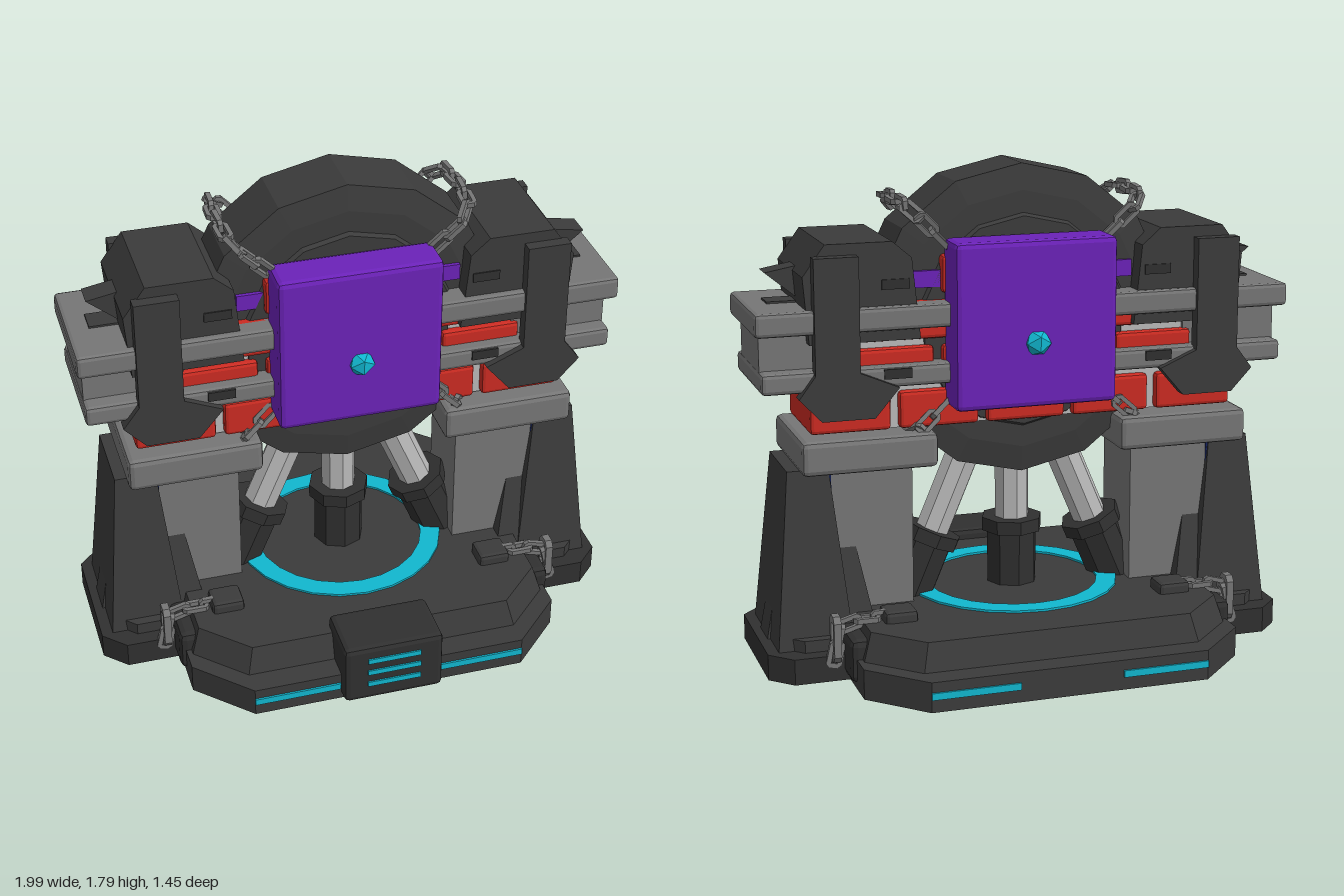
import * as THREE from 'three';
import { RoundedBoxGeometry } from 'three/addons/geometries/RoundedBoxGeometry.js';

const mat = (name, color) => {
  const m = new THREE.MeshStandardMaterial({ color });
  m.name = name;
  return m;
};

// faceted copy of a geometry
function facet(geo) {
  const g = geo.index ? geo.toNonIndexed() : geo;
  g.computeVertexNormals();
  return g;
}

function add(parent, name, geo, material, x = 0, y = 0, z = 0) {
  const mesh = new THREE.Mesh(facet(geo), material);
  mesh.name = name;
  mesh.position.set(x, y, z);
  parent.add(mesh);
  return mesh;
}

// chamfered box given by its limits
function block(parent, name, m, [x0, x1], [y0, y1], [z0, z1], bevel = 0.015) {
  const geo = new RoundedBoxGeometry(x1 - x0, y1 - y0, z1 - z0, 1, bevel);
  return add(parent, name, geo, m, (x0 + x1) / 2, (y0 + y1) / 2, (z0 + z1) / 2);
}

// box whose top has another size and is shifted sideways
function taper(w, h, d, topW, topD, shiftX = 0, shiftZ = 0) {
  const g = new THREE.BoxGeometry(w, h, d);
  const p = g.attributes.position;
  for (let i = 0; i < p.count; i++) {
    if (p.getY(i) > 0) {
      p.setX(i, p.getX(i) * topW / w + shiftX);
      p.setZ(i, p.getZ(i) * topD / d + shiftZ);
    }
  }
  return g;
}

const shapeOf = (pts) => new THREE.Shape(pts.map(([x, y]) => new THREE.Vector2(x, y)));
const extrude = (pts, depth) =>
  new THREE.ExtrudeGeometry(shapeOf(pts), { depth, bevelEnabled: false });

// chamfered slab lying flat, its sides narrowing by inset towards the top
function octSlab(hx, hz, c, h, inset = 0) {
  const g = extrude([[-hx, -hz + c], [-hx + c, -hz], [hx - c, -hz], [hx, -hz + c],
    [hx, hz - c], [hx - c, hz], [-hx + c, hz], [-hx, hz - c]], h);
  g.rotateX(-Math.PI / 2);
  const p = g.attributes.position;
  for (let i = 0; i < p.count; i++) {
    if (p.getY(i) > h / 2) {
      p.setX(i, p.getX(i) * (1 - inset / hx));
      p.setZ(i, p.getZ(i) * (1 - inset / hz));
    }
  }
  return g;
}

// one angular chain link
function linkGeometry() {
  const s = shapeOf([[-0.05, -0.015], [-0.037, -0.028], [0.037, -0.028], [0.05, -0.015],
    [0.05, 0.015], [0.037, 0.028], [-0.037, 0.028], [-0.05, 0.015]]);
  s.holes.push(new THREE.Path([[-0.034, -0.012], [-0.034, 0.012], [0.034, 0.012], [0.034, -0.012]]
    .map(([x, y]) => new THREE.Vector2(x, y))));
  return new THREE.ExtrudeGeometry(s, { depth: 0.018, bevelEnabled: false }).translate(0, 0, -0.009);
}

function chain(parent, name, pts, count, m) {
  const path = new THREE.CurvePath();
  const v = pts.map((p) => new THREE.Vector3(...p));
  for (let i = 1; i < v.length; i++) path.add(new THREE.LineCurve3(v[i - 1], v[i]));
  const group = new THREE.Group();
  group.name = name;
  for (let i = 0; i < count; i++) {
    const t = (i + 0.5) / count;
    const link = add(group, 'chainLink', linkGeometry(), m, ...path.getPointAt(t).toArray());
    link.quaternion.setFromUnitVectors(new THREE.Vector3(1, 0, 0), path.getTangentAt(t).normalize());
    link.rotateX(i % 2 ? Math.PI / 2 : 0);
  }
  parent.add(group);
}

export function createModel() {
  const dark = mat('charcoal', 0x3b3b3b), black = mat('blackMetal', 0x303030);
  const grey = mat('steel', 0x767676), silver = mat('silver', 0xb9b9b9);
  const red = mat('redBrick', 0xcb2b22), purple = mat('purple', 0x6b22b8);
  const cyan = mat('cyanGlow', 0x11b7cf), navy = mat('navy', 0x20307a);

  const model = new THREE.Group();
  model.name = 'portalMachine';
  const root = new THREE.Group();
  root.name = 'machine';
  root.position.z = -0.025;
  model.add(root);

  // stepped platform with its glowing ring and edge strips
  add(root, 'platformBase', octSlab(0.7, 0.695, 0.19, 0.11), dark);
  add(root, 'platformTop', octSlab(0.68, 0.605, 0.17, 0.1, 0.03), dark, 0, 0.11);
  const ring = new THREE.Shape().absarc(0, 0, 0.395, 0, Math.PI * 2);
  ring.holes.push(new THREE.Path().absarc(0, 0, 0.32, 0, Math.PI * 2, true));
  add(root, 'floorRing', new THREE.ExtrudeGeometry(ring, { depth: 0.008, bevelEnabled: false, curveSegments: 12 })
    .rotateX(-Math.PI / 2), cyan, 0, 0.21);
  for (const x of [-0.35, 0.35]) for (const z of [-0.698, 0.698]) {
    add(root, 'edgeStrip', new THREE.BoxGeometry(0.32, 0.025, 0.009), cyan, x, 0.06, z);
  }

  // control console
  block(root, 'console', black, [-0.187, 0.187], [0.01, 0.25], [0.515, 0.742], 0.02);
  for (const y of [0.085, 0.138, 0.19]) {
    add(root, 'consoleStrip', new THREE.BoxGeometry(0.2, 0.02, 0.008), cyan, 0, y, 0.744);
  }

  // three pistons holding the wheel
  for (const [x, lean] of [[-0.42, -0.4], [0, 0], [0.42, 0.4]]) {
    const piston = new THREE.Group();
    piston.name = 'piston';
    piston.position.set(x, 0.17, 0);
    piston.rotation.z = lean;
    root.add(piston);
    add(piston, 'pistonSleeve', new THREE.CylinderGeometry(0.095, 0.095, 0.28, 8), black, 0, 0.12);
    add(piston, 'pistonCollar', new THREE.CylinderGeometry(0.115, 0.115, 0.05, 8), black, 0, 0.265);
    add(piston, 'pistonRod', new THREE.CylinderGeometry(0.065, 0.065, 0.5, 8), silver, 0, 0.45);
  }

  // big faceted wheel with raised hub
  const wheel = new THREE.LatheGeometry([[0, -0.15], [0.38, -0.15], [0.39, -0.135], [0.47, -0.135], [0.565, -0.12],
    [0.565, 0.12], [0.47, 0.135], [0.39, 0.135], [0.38, 0.15], [0, 0.15]]
    .map(([x, y]) => new THREE.Vector2(x, y)), 14).rotateX(Math.PI / 2);
  add(root, 'wheel', wheel, dark, 0, 1.228);

  // brick wall
  add(root, 'mortar', new THREE.BoxGeometry(1.22, 0.44, 0.29), silver, 0, 1.09);
  const rows = [[-0.65, -0.325, 0, 0.325, 0.65], [-0.49, -0.165, 0.165, 0.49],
    [-0.56, -0.325, 0, 0.325, 0.56], [-0.165, 0.165]];
  rows.forEach((row, r) => row.forEach((x) => {
    const half = Math.abs(x) === 0.56 ? 0.055 : 0.147;
    block(root, 'brick', red, [x - half, x + half], [0.87 + r * 0.16, 1.005 + r * 0.16], [-0.175, 0.175], 0.014);
  }));
  add(root, 'crossBar', new THREE.BoxGeometry(0.82, 0.06, 0.3), purple, 0, 1.4);

  // purple panels and their gems
  for (const s of [-1, 1]) {
    const z = [0.145 * s, 0.305 * s].sort((a, b) => a - b);
    block(root, 'panel', purple, [-0.3, 0.3], [0.945, 1.545], z, 0.02);
    add(root, 'gem', new THREE.IcosahedronGeometry(0.052, 0), cyan, 0, 1.178, 0.295 * s);
  }

  // chains wrapped around the wheel rim
  for (let k = 0; k < 4; k++) {
    const a = Math.PI / 4 + k * Math.PI / 2;
    const pts = [[0.42, 0.175], [0.56, 0.19], [0.62, 0.13], [0.63, 0], [0.62, -0.13], [0.56, -0.19], [0.42, -0.175]]
      .map(([r, z]) => [r * Math.cos(a), 1.228 + (k > 1 ? 0.9 : 1) * r * Math.sin(a), z]);
    chain(root, 'rimChain', pts, 10, grey);
  }

  // the two sides, one turned half way round
  for (const turn of [0, Math.PI]) {
    const side = new THREE.Group();
    side.name = turn ? 'rightTower' : 'leftTower';
    side.rotation.y = turn;
    root.add(side);

    // foot and tapered tower
    add(side, 'foot', octSlab(0.24, 0.305, 0.08, 0.095), black, 0.74, 0.001);
    add(side, 'footStep', octSlab(0.2, 0.25, 0.07, 0.05), dark, 0.72, 0.09);
    add(side, 'pillar', new THREE.BoxGeometry(0.36, 0.66, 0.28), grey, 0.6, 0.41);
    add(side, 'outerButtress', taper(0.28, 0.66, 0.44, 0.15, 0.3, 0.005), dark, 0.8, 0.41);
    add(side, 'outerFin', taper(0.12, 0.38, 0.13, 0.04, 0.09, -0.03), dark, 0.89, 0.28);
    for (const s of [-1, 1]) {
      add(side, 'frontFin', taper(0.19, 0.4, 0.14, 0.06, 0.04, 0.01, -0.05 * s), dark, 0.66, 0.28, 0.16 * s);
      add(side, 'navyPanel', new THREE.BoxGeometry(0.06, 0.28, 0.008), navy, 0.75, 0.6, 0.143 * s);
    }
    block(side, 'pillarCap', grey, [0.345, 0.84], [0.735, 0.86], [-0.235, 0.235], 0.02);

    // beam of two flanges and a web
    block(side, 'upperFlange', grey, [0.27, 0.995], [1.24, 1.325], [-0.235, 0.235]);
    block(side, 'lowerFlange', grey, [0.27, 0.975], [1.035, 1.11], [-0.225, 0.225]);
    add(side, 'beamWeb', new THREE.BoxGeometry(0.36, 0.14, 0.32), grey, 0.79, 1.175);
    add(side, 'beamNotch', new THREE.BoxGeometry(0.12, 0.008, 0.09), dark, 0.855, 1.328);

    // shoulder housing with its horn
    add(side, 'shoulder', extrude([[0.4, 1.2], [0.8, 1.2], [0.82, 1.44], [0.74, 1.55], [0.5, 1.55], [0.43, 1.49]], 0.41),
      dark, 0, 0, -0.205);
    add(side, 'horn', extrude([[0.78, 1.32], [0.92, 1.435], [0.78, 1.46]], 0.09), dark, 0, 0, -0.045);
    for (const s of [-1, 1]) {
      add(side, 'strap', extrude([[0.49, 1.04], [0.58, 0.935], [0.77, 0.935], [0.85, 1.02], [0.79, 1.1], [0.79, 1.51],
        [0.63, 1.51], [0.63, 1.1]], 0.05), dark, 0, 0, 0.225 * s - 0.025);
      add(side, 'beamClip', new THREE.BoxGeometry(0.1, 0.035, 0.01), black, 0.49, 1.085, 0.226 * s);
      add(side, 'shoulderClip', new THREE.BoxGeometry(0.1, 0.035, 0.01), black, 0.49, 1.4, 0.205 * s);

      // anchored chains on the platform
      const z = 0.3 * s;
      block(side, 'chainAnchor', dark, [0.46, 0.58], [0.18, 0.25], [z - 0.055, z + 0.055], 0.015);
      block(side, 'footAnchor', black, [0.6, 0.72], [0.02, 0.18], [z - 0.11, z + 0.11], 0.025);
      chain(side, 'anchorChain', [[0.54, 0.22, z], [0.66, 0.22, z], [0.73, 0.2, z], [0.76, 0.07, z]], 5, grey);
      add(side, 'chainShackle', linkGeometry().scale(1.7, 1.3, 1.5).rotateZ(Math.PI / 2).rotateY(Math.PI / 2),
        grey, 0.75, 0.16, z);
    }
  }
  return model;
}
